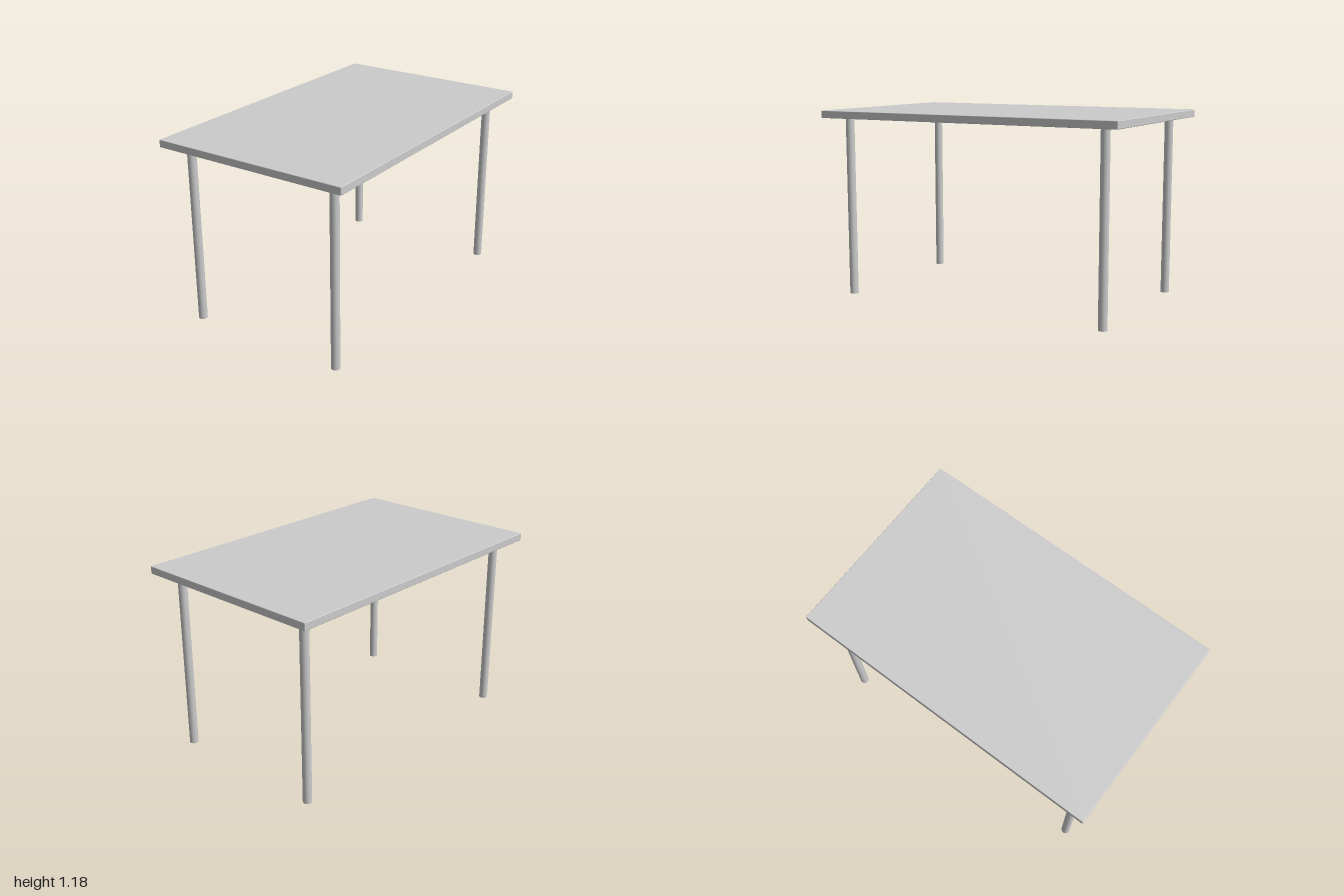
import * as THREE from 'three';
import { RoundedBoxGeometry } from 'three/addons/geometries/RoundedBoxGeometry.js';

const WIDTH = 1.264, DEPTH = 2, HEIGHT = 1.184, THICKNESS = 0.047;
const LEG_X = 0.504, LEG_Z = 0.876, LEG_RADIUS = 0.027;

export function createModel() {
  const table = new THREE.Group();
  table.name = 'table';
  const material = new THREE.MeshStandardMaterial({ color: 0xcccccc });

  // Flat top with slightly softened edges
  const top = new THREE.Mesh(new RoundedBoxGeometry(WIDTH, THICKNESS, DEPTH, 2, 0.004), material);
  top.name = 'tableTop';
  top.position.y = HEIGHT - THICKNESS / 2;
  table.add(top);

  // Four round legs reaching the underside of the top
  const legHeight = HEIGHT - THICKNESS;
  const legGeometry = new THREE.CylinderGeometry(LEG_RADIUS, LEG_RADIUS, legHeight, 32);
  for (const [zName, z] of [['front', LEG_Z], ['back', -LEG_Z]]) {
    for (const [xName, x] of [['Left', LEG_X], ['Right', -LEG_X]]) {
      const leg = new THREE.Mesh(legGeometry, material);
      leg.name = `${zName}${xName}Leg`;
      leg.position.set(x, legHeight / 2, z);
      table.add(leg);
    }
  }
  return table;
}
